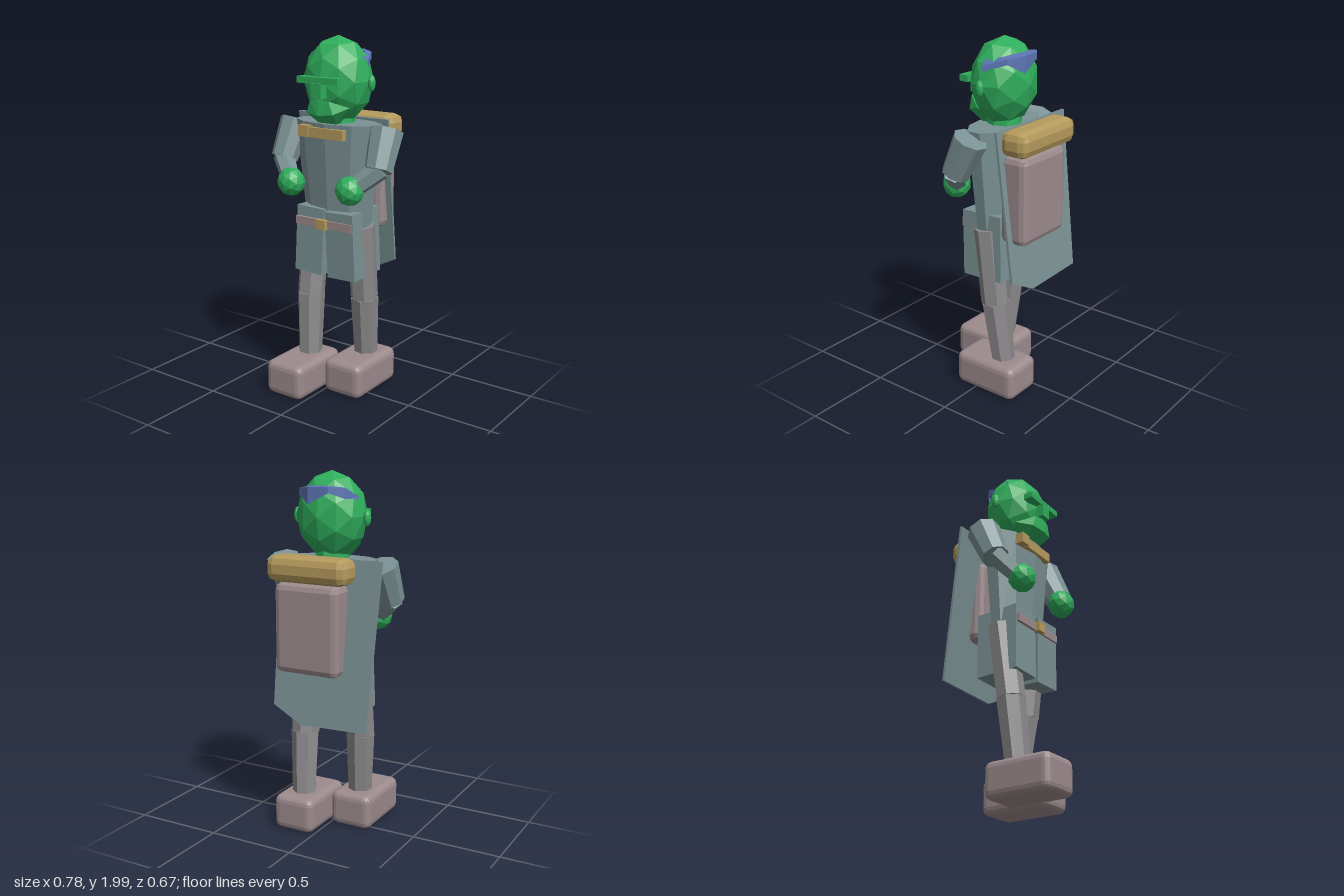
import * as THREE from 'three';
import { RoundedBoxGeometry } from 'three/addons/geometries/RoundedBoxGeometry.js';
import { ConvexGeometry } from 'three/addons/geometries/ConvexGeometry.js';

const V = (x, y, z) => new THREE.Vector3(x, y, z);
const mat = (color) => new THREE.MeshStandardMaterial({ color, flatShading: true });

export function createModel() {
  const model = new THREE.Group();
  const skin = mat(0x2fae5c), cloth = mat(0x7b9294), trousers = mat(0x8c8a8c);
  const leather = mat(0x9c8b8d), tan = mat(0xb59a5c), hairMat = mat(0x5c74b4);
  hairMat.side = THREE.DoubleSide;

  function add(name, geometry, material, x = 0, y = 0, z = 0) {
    const mesh = new THREE.Mesh(geometry, material);
    mesh.name = name;
    mesh.position.set(x, y, z);
    model.add(mesh);
    return mesh;
  }
  // Tapered prism running from a to b
  function limb(name, a, b, ra, rb, sides, material) {
    const d = b.clone().sub(a);
    const m = add(name, new THREE.CylinderGeometry(rb, ra, d.length(), sides), material);
    m.position.copy(a).addScaledVector(d, 0.5);
    m.quaternion.setFromUnitVectors(V(0, 1, 0), d.normalize());
    return m;
  }
  const ball = (name, material, x, y, z, rx, ry, rz, detail = 1) => {
    const m = add(name, new THREE.IcosahedronGeometry(1, detail), material, x, y, z);
    m.scale.set(rx, ry, rz);
    return m;
  };

  // Head and face
  ball('head', skin, 0, 1.765, -0.03, 0.198, 0.235, 0.17);
  add('neck', new THREE.CylinderGeometry(0.09, 0.1, 0.12, 8), skin, 0, 1.54, -0.03);
  const jaw = [V(0, 1.68, 0.15), V(0, 1.59, 0.16)];
  for (const s of [-1, 1]) {
    jaw.push(V(s * 0.06, 1.67, 0.145), V(s * 0.13, 1.63, 0.05), V(s * 0.085, 1.6, 0.14),
      V(s * 0.06, 1.54, 0.07), V(s * 0.06, 1.56, -0.04));
    ball('ear', skin, s * 0.212, 1.758, -0.033, 0.02, 0.045, 0.024);
  }
  add('jaw', new ConvexGeometry(jaw), skin);
  add('brow', new THREE.BoxGeometry(0.265, 0.035, 0.055), skin, 0, 1.775, 0.138);
  add('nose', new THREE.BoxGeometry(0.065, 0.08, 0.06), skin, 0, 1.722, 0.145);

  // Ragged band of hair round the back of the head: inner, outer and lower edges
  const inner = [[-0.15, 1.885, -0.06], [-0.12, 1.915, -0.1], [-0.05, 1.925, -0.15],
    [0.06, 1.925, -0.14], [0.12, 1.915, -0.11], [0.15, 1.9, -0.02]];
  const outer = [[-0.175, 1.87, -0.06], [-0.135, 1.915, -0.14], [-0.065, 1.92, -0.19],
    [0.05, 1.92, -0.2], [0.13, 1.91, -0.15], [0.185, 1.87, -0.03]];
  const dips = [1.855, 1.86, 1.89, 1.83, 1.88, 1.84];
  const hair = [], faces = [];
  inner.forEach((p, i) => {
    const o = outer[i];
    hair.push(...p, ...o, o[0] * 1.02, dips[i], o[2]);
    if (i) {
      const b = i * 3, a = b - 3;
      for (const k of [0, 1]) faces.push(a + k, b + k, b + k + 1, a + k, b + k + 1, a + k + 1);
    }
  });
  const hairGeo = new THREE.BufferGeometry();
  hairGeo.setAttribute('position', new THREE.Float32BufferAttribute(hair, 3));
  hairGeo.setIndex(faces);
  hairGeo.computeVertexNormals();
  add('hair', hairGeo, hairMat);
  add('hairTuft', new THREE.TetrahedronGeometry(0.025), hairMat, -0.14, 1.893, 0.015);

  // Torso, chest strap and belt
  add('torso', new THREE.CylinderGeometry(1, 0.74, 0.58, 10), cloth, 0, 1.25, -0.03).scale.set(0.275, 1, 0.132);
  add('chestStrap', new THREE.BoxGeometry(0.23, 0.055, 0.05), tan, 0.012, 1.49, 0.088);
  add('strapBuckle', new THREE.BoxGeometry(0.065, 0.062, 0.055), tan, -0.127, 1.495, 0.096);
  add('belt', new THREE.BoxGeometry(0.37, 0.045, 0.27), leather, 0, 0.992, -0.018);
  add('beltBuckle', new THREE.BoxGeometry(0.058, 0.054, 0.03), tan, 0, 0.992, 0.125);
  add('hips', new THREE.BoxGeometry(0.3, 0.18, 0.2), trousers, 0, 0.9, -0.03);

  for (const s of [-1, 1]) {
    // Split tunic skirt
    const skirt = add('skirt', new THREE.BoxGeometry(0.182, 0.375, 0.255), cloth, s * 0.103, 0.88, -0.025);
    skirt.rotation.set(s * 0.03, 0, s * 0.03);
    // Arms bent forward, fists in front of the waist
    const shoulder = V(s * 0.3, 1.515, -0.045), elbow = V(s * 0.315, 1.315, 0.05), wrist = V(s * 0.205, 1.215, 0.13);
    limb('upperArm', shoulder, elbow, 0.094, 0.076, 8, cloth);
    limb('forearm', V(s * 0.325, 1.33, 0.045), wrist, 0.062, 0.05, 6, cloth);
    ball('hand', skin, s * 0.195, 1.21, 0.142, 0.08, 0.08, 0.075);
    // Legs in mid stride: model's left leg back, right leg forward
    const left = s > 0;
    const hip = V(s * 0.148, 0.98, left ? -0.035 : -0.025);
    const knee = V(s * 0.145, 0.55, left ? -0.08 : 0.035);
    const ankle = V(s * 0.128, 0.18, left ? -0.125 : 0.068);
    limb('thigh', hip, knee, 0.08, 0.079, 7, trousers);
    limb('shin', knee, ankle, 0.08, 0.067, 7, trousers);
    add('boot', new RoundedBoxGeometry(0.245, 0.198, 0.395, 2, 0.04), leather, s * 0.127, 0.108, left ? -0.07 : 0.133);
  }

  // Cloak hanging off the back
  const outline = new THREE.Shape([[-0.365, 0], [0.24, 0], [0.235, -0.82], [0.06, -0.91], [-0.335, -0.9]]
    .map(([x, y]) => new THREE.Vector2(x, y)));
  const cloak = add('cloak', new THREE.ExtrudeGeometry(outline, { depth: 0.014, bevelEnabled: false }), cloth, 0, 1.555, -0.163);
  cloak.rotation.x = 0.125;

  // Pack with bedroll on top
  add('pack', new RoundedBoxGeometry(0.38, 0.485, 0.16, 1, 0.035), leather, 0.01, 1.182, -0.232);
  add('bedroll', new RoundedBoxGeometry(0.475, 0.14, 0.163, 1, 0.045), tan, 0, 1.5, -0.254);

  return model;
}
